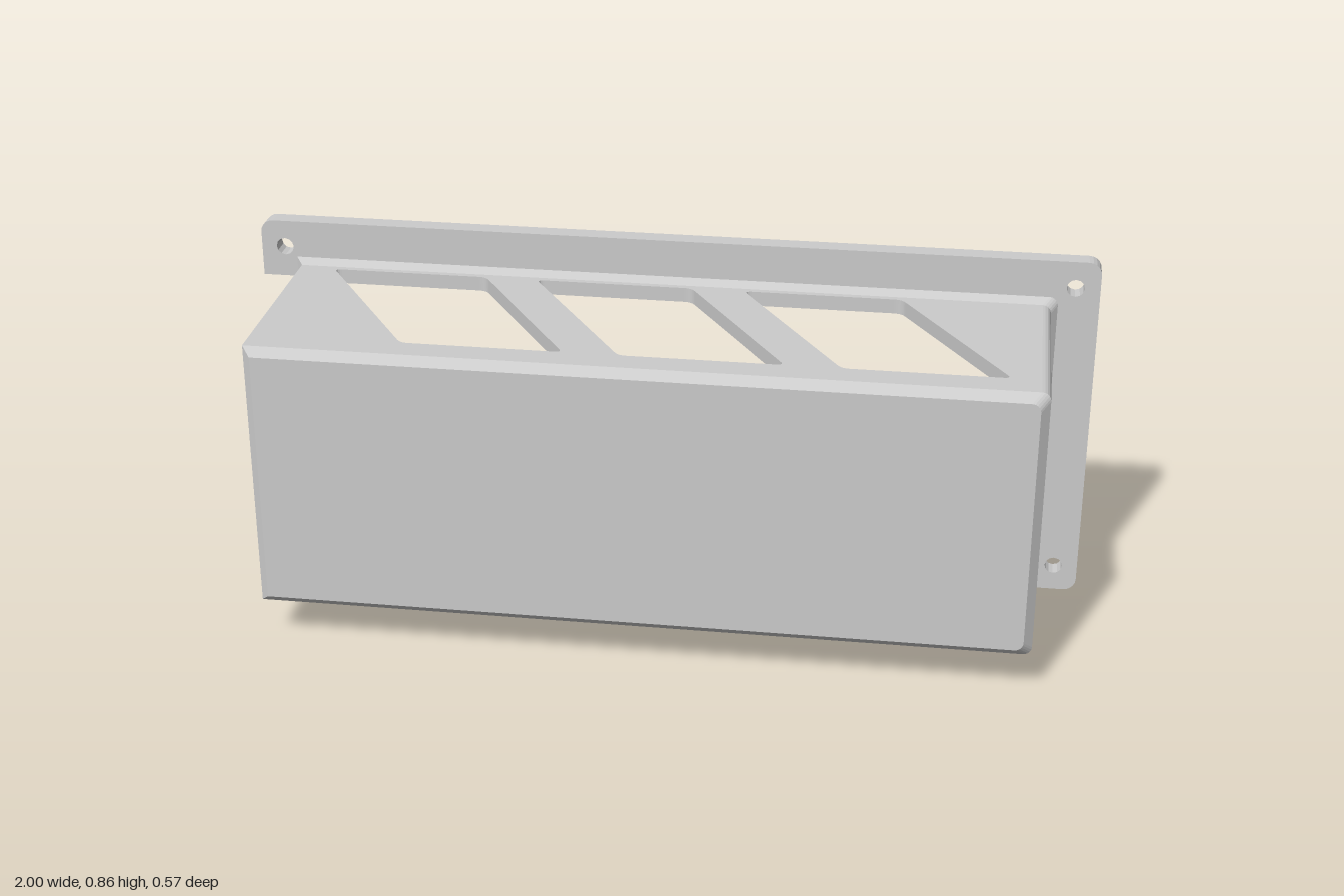
import * as THREE from 'three';

const X0 = -0.9, X1 = 0.89, Y0 = 0.105, Y1 = 0.755;   // outer housing
const IN_X = 0.86, IN_Y0 = 0.14, IN_Y1 = 0.72;        // inner cavity
const BACK = -0.285, PLATE = -0.24, SHOULDER = 0.265, FRONT = 0.285;
const R = 0.02;
const V = (x, y) => new THREE.Vector2(x, y);

// Points of an arc, counter-clockwise
function arc(cx, cy, r, a0, a1, n = 5) {
  return Array.from({ length: n + 1 }, (_, i) => {
    const a = a0 + (a1 - a0) * i / n;
    return V(cx + r * Math.cos(a), cy + r * Math.sin(a));
  });
}

// Polygon whose corners are softened by distance d
function softPolygon(pts, d) {
  const path = new THREE.Path();
  pts.forEach((p, i) => {
    const prev = pts[(i + pts.length - 1) % pts.length], next = pts[(i + 1) % pts.length];
    const a = p.clone().add(prev.clone().sub(p).setLength(d));
    const b = p.clone().add(next.clone().sub(p).setLength(d));
    if (i) path.lineTo(a.x, a.y); else path.moveTo(a.x, a.y);
    path.quadraticCurveTo(p.x, p.y, b.x, b.y);
  });
  path.closePath();
  return path;
}

// Solid through counter-clockwise outlines stacked along +z
function loft(outlines, zs) {
  const pos = [], n = outlines[0].length;
  const add = (k, i) => pos.push(outlines[k][i].x, outlines[k][i].y, zs[k]);
  for (let k = 0; k < zs.length - 1; k++) {
    for (let i = 0; i < n; i++) {
      const j = (i + 1) % n;
      add(k, i); add(k, j); add(k + 1, j);
      add(k, i); add(k + 1, j); add(k + 1, i);
    }
  }
  const last = zs.length - 1;
  for (const [a, b, c] of THREE.ShapeUtils.triangulateShape(outlines[0], [])) {
    add(0, a); add(0, c); add(0, b);
  }
  for (const [a, b, c] of THREE.ShapeUtils.triangulateShape(outlines[last], [])) {
    add(last, a); add(last, b); add(last, c);
  }
  const g = new THREE.BufferGeometry();
  g.setAttribute('position', new THREE.Float32BufferAttribute(pos, 3));
  g.computeVertexNormals();
  return g;
}

// Right side of the housing outline, rounded at the closed end
function closedEnd(o) {
  return [
    ...arc(X1 + o - R, Y0 - o + R, R, -Math.PI / 2, 0),
    ...arc(X1 + o - R, Y1 + o - R, R, 0, Math.PI / 2),
  ];
}
const fullOutline = o => [V(X0 - o, Y0 - o), ...closedEnd(o), V(X0 - o, Y1 + o)];
const openOutline = o => [
  ...fullOutline(o), V(X0 - o, IN_Y1), V(IN_X, IN_Y1), V(IN_X, IN_Y0), V(X0 - o, IN_Y0),
];

export function createModel() {
  const group = new THREE.Group();
  const material = new THREE.MeshStandardMaterial({ color: 0xcccccc, flatShading: true });
  const add = (name, geometry) => {
    const mesh = new THREE.Mesh(geometry, material);
    mesh.name = name;
    group.add(mesh);
    return mesh;
  };
  const extrude = (shape, depth) =>
    new THREE.ExtrudeGeometry(shape, { depth, bevelEnabled: false, curveSegments: 6 });

  // C-shaped mounting flange with four screw holes
  const c = 0.03, H = 0.86, q = Math.PI / 2;
  const flange = new THREE.Shape([
    ...arc(-1 + c, c, c, 2 * q, 3 * q), ...arc(1 - c, c, c, 3 * q, 4 * q),
    ...arc(1 - c, H - c, c, 0, q), ...arc(-1 + c, H - c, c, q, 2 * q),
    V(-1, IN_Y1), V(IN_X, IN_Y1), V(IN_X, IN_Y0), V(-1, IN_Y0),
  ]);
  for (const x of [-0.943, 0.943]) {
    for (const y of [0.065, 0.795]) {
      flange.holes.push(new THREE.Path().absarc(x, y, 0.021, 0, Math.PI * 2, true));
    }
  }
  add('flange', extrude(flange, PLATE - BACK).translate(0, 0, BACK));

  // Small flare where the housing meets the flange
  add('baseFlare', loft([openOutline(0.015), openOutline(0)], [PLATE, -0.225]));

  // Top and bottom walls with three slanted windows each
  const wall = new THREE.Shape([
    V(X0, -SHOULDER), V(X1 - R, -SHOULDER), V(X1 - R, -PLATE), V(X0, -PLATE),
  ]);
  for (let i = 0; i < 3; i++) {
    const x = -0.815 + i * 0.495;
    wall.holes.push(softPolygon(
      [V(x, 0.21), V(x + 0.37, 0.21), V(x + 0.63, -0.2), V(x + 0.26, -0.2)], 0.018));
  }
  const wallGeometry = extrude(wall, Y1 - IN_Y1).rotateX(-Math.PI / 2);
  add('topWall', wallGeometry).position.y = IN_Y1;
  add('bottomWall', wallGeometry).position.y = Y0;

  // End wall with a rectangular window
  const end = new THREE.Shape([
    V(-SHOULDER, Y0 + R), V(-PLATE, Y0 + R), V(-PLATE, Y1 - R), V(-SHOULDER, Y1 - R),
  ]);
  end.holes.push(new THREE.Path([V(-0.18, 0.21), V(-0.18, 0.65), V(0.18, 0.65), V(0.18, 0.21)]));
  add('endWall', extrude(end, X1 - IN_X).rotateY(Math.PI / 2).translate(IN_X, 0, 0));

  // Rounded edges between the end wall and the top and bottom walls
  for (const [name, y, a] of [['topEndEdge', Y1 - R, 0], ['bottomEndEdge', Y0 + R, -q]]) {
    const sector = [V(X1 - R, y), ...arc(X1 - R, y, R, a, a + q)];
    add(name, loft([sector, sector], [PLATE, SHOULDER]));
  }

  // Front panel with chamfered rim
  add('frontPanel', loft(
    [fullOutline(0), fullOutline(0), fullOutline(-0.0199)], [0.25, SHOULDER, FRONT]));

  // Inner fillets along the front panel
  for (const [name, y, s] of [['topInnerFillet', IN_Y1, -1], ['bottomInnerFillet', IN_Y0, 1]]) {
    const tri = [V(-0.25, y), V(-0.23, y), V(-0.25, y + s * 0.02)];
    add(name, extrude(new THREE.Shape(tri), IN_X - X0).rotateY(Math.PI / 2).translate(X0, 0, 0));
  }

  return group;
}
